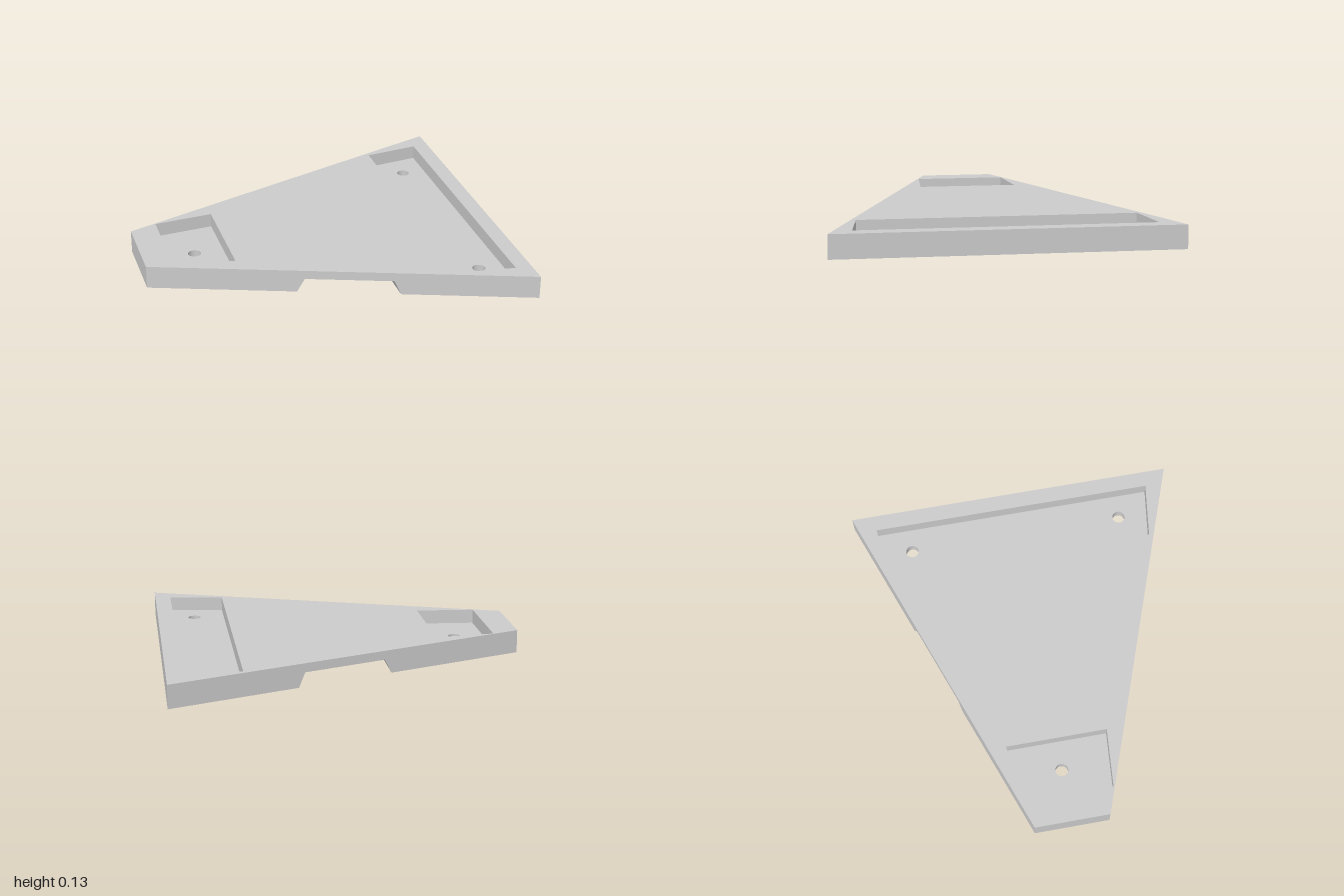
import * as THREE from 'three';

const H = 0.13, FLOOR = 0.05, ROOF = 0.08, HOLE_R = 0.036;
const halfWidth = x => 0.21 + 0.36 * (x + 1);
const V = (x, y) => new THREE.Vector2(x, y);

// Channel profile (x, y) across the underside
const channel = [[-0.23, 0], [-0.19, ROOF], [0.265, ROOF], [0.3, 0]];
// The side bulges slightly at one channel corner
const sideZ = (x, y) => halfWidth(x) + (x === 0.265 && y === ROOF ? 0.01 : 0);

// Flat outline with holes, placed in space by a mapping function
function sheet(outline, holes, place, flip = false) {
  const shape = new THREE.Shape(outline);
  shape.holes = holes.map(h => new THREE.Path(h));
  const g = new THREE.ShapeGeometry(shape).toNonIndexed();
  const p = g.attributes.position, pts = [];
  for (let i = 0; i < p.count; i++) pts.push(place(p.getX(i), p.getY(i)));
  for (let i = 0; i < pts.length; i += 3) {
    if (flip) [pts[i + 1], pts[i + 2]] = [pts[i + 2], pts[i + 1]];
  }
  return fromTriangles(pts);
}

// Band of quads between two rows of points
function band(lower, upper) {
  const pts = [];
  for (let i = 0; i + 1 < lower.length; i++) {
    pts.push(lower[i], upper[i], upper[i + 1], lower[i], upper[i + 1], lower[i + 1]);
  }
  return fromTriangles(pts);
}

function fromTriangles(pts) {
  const g = new THREE.BufferGeometry();
  g.setAttribute('position', new THREE.Float32BufferAttribute(pts.flat(), 3));
  g.computeVertexNormals();
  return g;
}

// Inward-facing wall around a closed plan outline
function innerWall(loop, y0, y1) {
  const closed = [...loop, loop[0]];
  const row = y => closed.map(p => [p.x, y, -p.y]);
  return band(row(y0), row(y1));
}

const circle = (x, z) => Array.from({ length: 32 }, (_, i) => {
  const a = i / 32 * Math.PI * 2;
  return V(x + HOLE_R * Math.cos(a), -z + HOLE_R * Math.sin(a));
});

const trapezoid = (x0, w0, x1, w1) => [V(x0, -w0), V(x1, -w1), V(x1, w1), V(x0, w0)];
const plan = (x0, x1) => trapezoid(x0, halfWidth(x0), x1, halfWidth(x1));

export function createModel() {
  const model = new THREE.Group();
  const material = new THREE.MeshStandardMaterial({ color: 0xcccccc, flatShading: true });
  const add = (name, geometry) => {
    const mesh = new THREE.Mesh(geometry, material);
    mesh.name = name;
    model.add(mesh);
  };
  const level = y => (x, v) => [x, y, -v];

  // Each end has a recessed pocket above a flat foot, pierced by screw holes
  const ends = [
    { name: 'narrow', pocket: trapezoid(-0.85, 0.257, -0.52, 0.284),
      foot: plan(-1, -0.23), holes: [circle(-0.685, 0)] },
    { name: 'wide', pocket: trapezoid(0.6, 0.758, 0.91, 0.8),
      foot: plan(0.3, 1), holes: [circle(0.775, -0.615), circle(0.775, 0.615)] },
  ];
  for (const { name, pocket, foot, holes } of ends) {
    add(name + 'PocketFloor', sheet(pocket, holes, level(FLOOR)));
    add(name + 'PocketWall', innerWall(pocket, FLOOR, H));
    add(name + 'Foot', sheet(foot, holes, level(0), true));
    holes.forEach(h => add(name + 'ScrewHole', innerWall(h, 0, FLOOR)));
  }

  // Top face
  add('topFace', sheet(plan(-1, 1), ends.map(e => e.pocket), level(H)));

  // Long slanted sides, notched by the channel
  const profile = [[-1, 0], ...channel, [1, 0], [1, H], [-1, H]].map(p => V(...p));
  for (const s of [1, -1]) {
    add(s > 0 ? 'frontSide' : 'backSide',
      sheet(profile, [], (x, y) => [x, y, s * sideZ(x, y)], s < 0));
  }

  // Channel ceiling and ramps
  const edge = s => channel.map(([x, y]) => [x, y, s * sideZ(x, y)]);
  add('undersideChannel', band(edge(1), edge(-1)));

  // Narrow and wide end faces
  for (const s of [-1, 1]) {
    const w = s * halfWidth(s);
    const row = y => [[s, y, -w], [s, y, w]];
    add(s > 0 ? 'wideEnd' : 'narrowEnd', band(row(0), row(H)));
  }
  return model;
}
